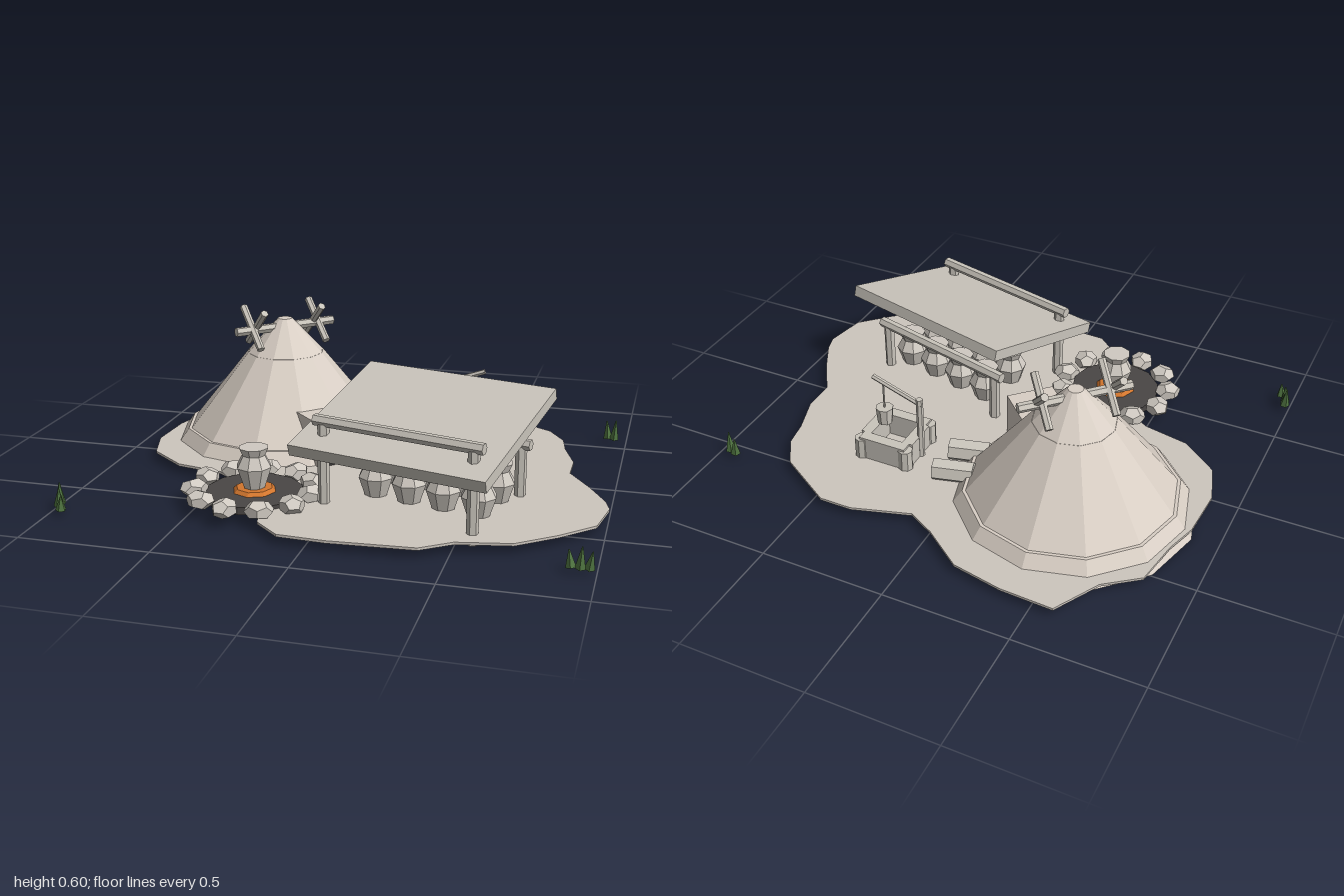
import * as THREE from 'three';

const paint = (name, color) => {
  const m = new THREE.MeshStandardMaterial({ color });
  m.name = name;
  return m;
};
const M = {
  plaster: paint('plaster', 0xd9cfc5),
  earth: paint('earth', 0xcdc6be),
  wood: paint('wood', 0xcac5bc),
  stone: paint('stone', 0xd0cac2),
  charcoal: paint('charcoal', 0x4a4645),
  dark: paint('doorway', 0x3a3838),
  ember: paint('ember', 0xd2762e),
  grass: paint('grass', 0x4f7340),
};

// Faceted mesh: every face gets its own normals
function add(parent, name, geometry, material, x = 0, y = 0, z = 0) {
  const g = geometry.index ? geometry.toNonIndexed() : geometry;
  g.computeVertexNormals();
  const mesh = new THREE.Mesh(g, material);
  mesh.name = name;
  mesh.position.set(x, y, z);
  parent.add(mesh);
  return mesh;
}

function group(parent, name, x = 0, y = 0, z = 0, turn = 0) {
  const g = new THREE.Group();
  g.name = name;
  g.position.set(x, y, z);
  g.rotation.y = turn;
  parent.add(g);
  return g;
}

// Round pole between two points
function log(parent, name, a, b, r, sides = 6, material = M.wood, rTop = r) {
  const p = new THREE.Vector3(...a), q = new THREE.Vector3(...b);
  const d = q.clone().sub(p);
  const mid = p.clone().add(q).multiplyScalar(0.5);
  const mesh = add(parent, name, new THREE.CylinderGeometry(rTop, r, d.length(), sides), material, mid.x, mid.y, mid.z);
  mesh.quaternion.setFromUnitVectors(new THREE.Vector3(0, 1, 0), d.normalize());
  return mesh;
}

function pot(parent, x, y, z) {
  const profile = [[0, 0], [0.038, 0], [0.068, 0.09], [0.044, 0.135], [0.057, 0.165], [0, 0.165]]
    .map(p => new THREE.Vector2(...p));
  return add(parent, 'pot', new THREE.LatheGeometry(profile, 8), M.stone, x, y, z);
}

function buildGround(root) {
  const outline = [
    [-0.59, -0.84], [-0.38, -0.83], [-0.18, -0.79], [-0.02, -0.67], [0.09, -0.61], [0.32, -0.68], [0.45, -0.68],
    [0.68, -0.54], [0.75, -0.43], [0.77, -0.32], [0.82, -0.17], [0.82, -0.04], [0.91, 0.1], [0.98, 0.23],
    [1.0, 0.3], [0.97, 0.47], [0.85, 0.59], [0.71, 0.7], [0.51, 0.74], [0.4, 0.82], [0.08, 0.84], [-0.1, 0.83],
    [-0.2, 0.74], [-0.28, 0.46], [-0.51, 0.29], [-0.7, 0.25], [-0.85, 0.13], [-0.9, -0.03], [-0.89, -0.24],
    [-0.85, -0.37], [-0.82, -0.56], [-0.69, -0.66],
  ].map(p => new THREE.Vector2(...p));
  const g = new THREE.ExtrudeGeometry(new THREE.Shape(outline), { depth: 0.01, bevelEnabled: false });
  add(root, 'ground', g.rotateX(Math.PI / 2), M.earth, 0, 0.04, 0);
}

function buildHut(root) {
  const hut = group(root, 'hut', -0.41, 0, -0.25);
  add(hut, 'skirt', new THREE.CylinderGeometry(0.42, 0.485, 0.09, 12), M.plaster, 0, 0.045, 0);
  add(hut, 'cone', new THREE.CylinderGeometry(0.16, 0.415, 0.32, 12), M.plaster, 0, 0.24, 0);
  add(hut, 'smokeCap', new THREE.CylinderGeometry(0.03, 0.168, 0.15, 12), M.plaster, 0, 0.465, 0);

  // Porch and ridge poles share the diagonal axis
  const front = group(hut, 'porchAndPoles', 0, 0, 0, Math.PI / 4);
  add(front, 'porch', new THREE.BoxGeometry(0.195, 0.22, 0.3), M.plaster, 0, 0.11, 0.315);
  add(front, 'doorway', new THREE.BoxGeometry(0.14, 0.15, 0.006), M.dark, 0, 0.105, 0.467);
  log(front, 'ridgePole', [-0.225, 0.505, 0], [0.225, 0.505, 0], 0.019);
  for (const s of [-1, 1]) {
    log(front, 'crossedPole', [s * 0.132, 0.44, -0.08], [s * 0.132, 0.59, 0.08], 0.016);
    log(front, 'crossedPole', [s * 0.152, 0.44, 0.08], [s * 0.152, 0.59, -0.08], 0.016);
  }
}

function buildShelter(root) {
  const s = group(root, 'shelter', 0.32, 0, 0.37, -0.255);
  const roof = add(s, 'roof', new THREE.BoxGeometry(0.78, 0.045, 0.64), M.wood, 0, 0.34, 0);
  roof.rotation.x = 0.26;
  for (const x of [-0.3, 0.3]) {
    log(s, 'frontPost', [x, 0, 0.211], [x, 0.345, 0.211], 0.022);
    log(s, 'backPost', [x, 0, -0.21], [x, 0.235, -0.21], 0.022);
  }
  log(s, 'frontBeam', [-0.338, 0.355, 0.211], [0.338, 0.355, 0.211], 0.022);
  log(s, 'backBeam', [-0.338, 0.242, -0.21], [0.338, 0.242, -0.21], 0.022);
  // Two rows of stored pots
  for (const z of [-0.125, 0.04])
    for (let i = 0; i < 4; i++) pot(s, 0.035 + (i - 1.5) * 0.14, 0.022, z);
}

function buildFirePit(root) {
  const pit = group(root, 'firePit', -0.3, 0, 0.48);
  add(pit, 'ashBed', new THREE.CylinderGeometry(0.185, 0.185, 0.03, 12), M.charcoal, 0, 0.04, 0);
  add(pit, 'embers', new THREE.CylinderGeometry(0.07, 0.085, 0.015, 8), M.ember, 0, 0.061, 0);
  pot(pit, 0, 0.06, 0);
  for (let i = 0; i < 11; i++) {
    const a = -1.69 + (i * Math.PI * 2) / 11;
    const stone = add(pit, 'hearthStone', new THREE.DodecahedronGeometry(0.056), M.stone,
      Math.cos(a) * 0.225, 0.063, Math.sin(a) * 0.225);
    stone.scale.set(1, 0.65, 0.9);
    stone.rotation.y = i * 1.3;
  }
}

function buildWell(root) {
  const w = group(root, 'well', 0.345, 0, -0.275);
  for (const s of [-1, 1]) {
    add(w, 'wellWall', new THREE.BoxGeometry(0.2, 0.1, 0.045), M.wood, 0, 0.085, s * 0.092);
    add(w, 'wellWall', new THREE.BoxGeometry(0.045, 0.1, 0.14), M.wood, s * 0.092, 0.085, 0);
    for (const t of [-1, 1])
      add(w, 'wellCorner', new THREE.CylinderGeometry(0.03, 0.03, 0.085, 8), M.wood, s * 0.097, 0.083, t * 0.097);
  }
  // Lifting arm with a hanging bucket
  log(w, 'liftPost', [-0.115, 0.015, 0], [-0.115, 0.31, 0], 0.014);
  log(w, 'liftArm', [-0.125, 0.285, 0], [0.09, 0.36, 0], 0.011);
  log(w, 'rope', [0.045, 0.22, 0], [0.045, 0.345, 0], 0.004, 5);
  add(w, 'bucket', new THREE.CylinderGeometry(0.036, 0.03, 0.07, 8), M.wood, 0.045, 0.19, 0);
}

function buildBenches(root) {
  for (const z of [-0.36, -0.22])
    log(root, 'benchLog', [-0.035, 0.082, z + 0.02], [0.12, 0.082, z - 0.02], 0.045);
}

function buildGrass(root) {
  // Each blade: x, z, height, lean in x
  const blades = [
    [-0.98, 0.71, 0.08, -0.005], [-0.975, 0.735, 0.07, 0.005], [-0.95, 0.77, 0.055, 0.005],
    [0.915, 0.8, 0.06, -0.01], [0.945, 0.8, 0.08, 0.005], [0.975, 0.795, 0.065, 0.01],
    [0.925, -0.565, 0.075, -0.008], [0.95, -0.56, 0.085, 0.006],
  ];
  const tufts = group(root, 'grass');
  for (const [x, z, h, lean] of blades)
    log(tufts, 'grassBlade', [x, 0.02, z], [x + lean, 0.02 + h, z + lean], 0.02, 5, M.grass, 0.002);
}

export function createModel() {
  const root = new THREE.Group();
  root.name = 'settlement';
  buildGround(root);
  buildHut(root);
  buildShelter(root);
  buildFirePit(root);
  buildWell(root);
  buildBenches(root);
  buildGrass(root);
  return root;
}
